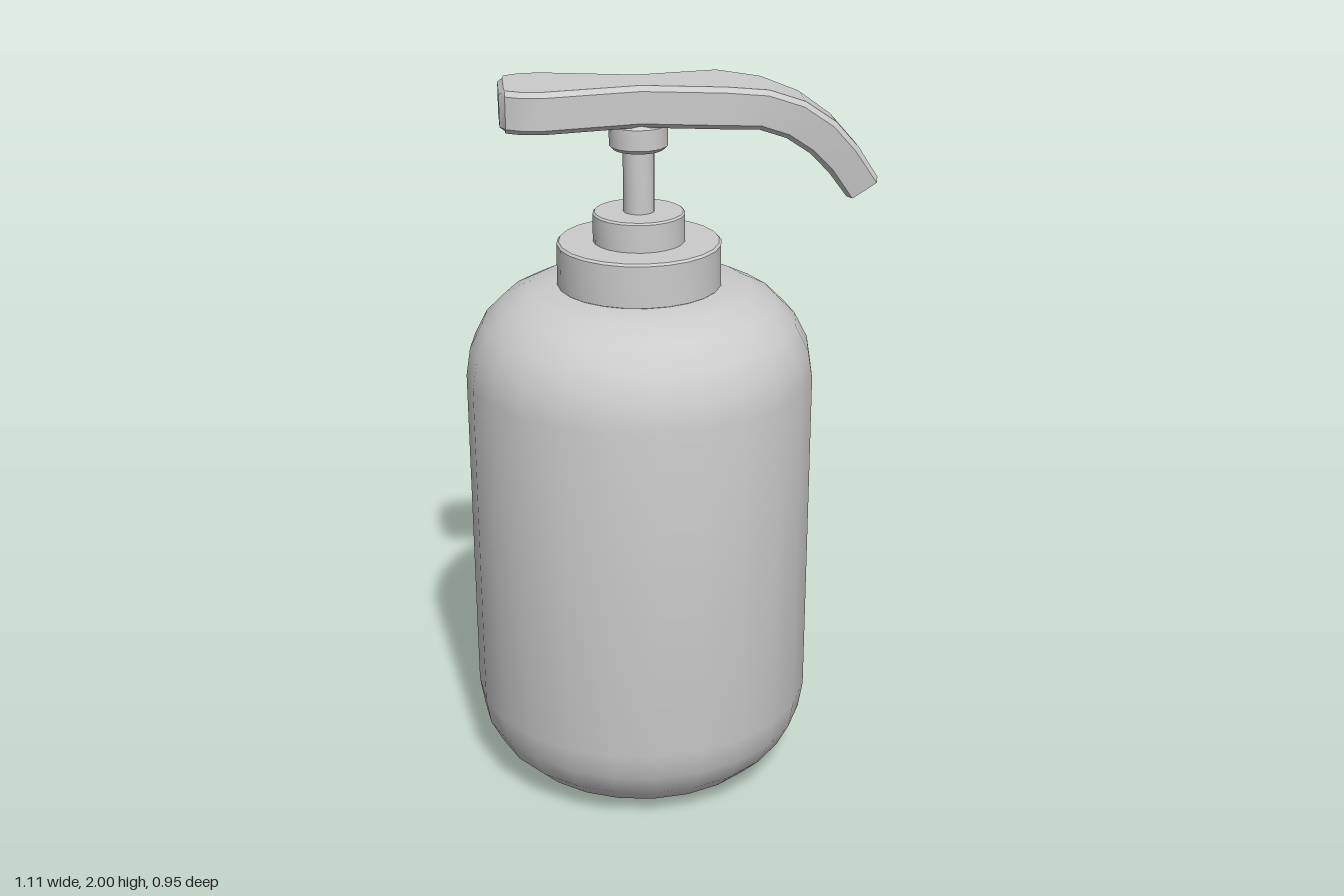
import * as THREE from 'three';
import { toCreasedNormals } from 'three/addons/utils/BufferGeometryUtils.js';

const AXIS_X = -0.087;
const material = new THREE.MeshStandardMaterial({ color: 0xcccccc });

function addMesh(group, name, geometry, crease = 0.55) {
  const mesh = new THREE.Mesh(toCreasedNormals(geometry, crease), material);
  mesh.name = name;
  group.add(mesh);
  return mesh;
}

// Turned part from [radius, height] pairs listed from bottom to top
function addTurned(group, name, profile, segments = 24) {
  const points = profile.map(([r, y]) => new THREE.Vector2(r, y));
  addMesh(group, name, new THREE.LatheGeometry(points, segments)).position.x = AXIS_X;
}

// Disc-shaped part with small chamfers on both rims
function chamferedDisc(r, y0, y1, b) {
  return [[0, y0], [r - b, y0], [r, y0 + b], [r, y1 - b], [r - b, y1], [0, y1]];
}

// Pump head: chamfered cross-sections, each [topX, topY, bottomX, bottomY, halfWidth]
function pumpHeadGeometry() {
  const stations = [
    [-0.45, 2, -0.45, 1.89, 0.075],
    [-0.435, 2, -0.435, 1.89, 0.103],
    [-0.395, 2, -0.395, 1.89, 0.124],
    [-0.34, 2, -0.34, 1.89, 0.13],
    [-0.087, 2, -0.087, 1.89, 0.077],
    [0.13, 2, 0.13, 1.89, 0.118],
    [0.245, 1.985, 0.22, 1.882, 0.097],
    [0.345, 1.948, 0.295, 1.853, 0.078],
    [0.43, 1.888, 0.36, 1.807, 0.06],
    [0.495, 1.815, 0.415, 1.75, 0.044],
    [0.557, 1.72, 0.475, 1.668, 0.026],
  ];
  const last = stations.length - 1;
  const positions = [];
  const index = [];
  const quad = (a, b, c, d) => index.push(a, b, c, a, c, d);

  stations.forEach(([tx, ty, bx, by, w], i) => {
    const top = new THREE.Vector2(tx, ty);
    const bottom = new THREE.Vector2(bx, by);
    const b = Math.min(0.013, w * 0.4);
    const v = b / top.distanceTo(bottom);
    // pull the top and bottom faces in at both ends so the chamfer runs all round
    const up = top.clone().sub(bottom).normalize();
    const pull = i === 0 ? b : i === last ? -b : 0;
    const ring = [
      [w, v], [w, 1 - v], [w - b, 1], [b - w, 1],
      [-w, 1 - v], [-w, v], [b - w, 0], [w - b, 0],
    ];
    for (const [z, t] of ring) {
      const p = bottom.clone().lerp(top, t);
      const inset = t === 0 || t === 1 ? pull : 0;
      positions.push(p.x + up.y * inset, p.y - up.x * inset, z);
    }
  });

  for (let i = 0; i < last; i++) {
    for (let k = 0; k < 8; k++) {
      const a = i * 8 + k, b = i * 8 + (k + 1) % 8;
      quad(a, a + 8, b + 8, b);
    }
  }
  // end caps: a flat face plus upper and lower chamfers
  for (const [a, b, c, d] of [[5, 4, 1, 0], [4, 3, 2, 1], [0, 7, 6, 5]]) {
    const o = last * 8;
    quad(o + a, o + b, o + c, o + d);
    quad(d, c, b, a);
  }
  const geometry = new THREE.BufferGeometry();
  geometry.setAttribute('position', new THREE.Float32BufferAttribute(positions, 3));
  geometry.setIndex(index);
  return geometry;
}

export function createModel() {
  const group = new THREE.Group();
  group.name = 'pumpBottle';

  // Bottle with rounded shoulders and base
  const R = 0.475, H = 1.45, corner = 0.25, steps = 5;
  const arc = [];
  for (let i = 0; i <= steps; i++) {
    const a = (i / steps) * Math.PI / 2;
    arc.push([R - corner + corner * Math.sin(a), corner * (1 - Math.cos(a))]);
  }
  const shoulder = arc.map(([r, y]) => [r, H - y]).reverse();
  addTurned(group, 'bottle', [[0, 0], ...arc, ...shoulder, [0, H]]);

  // Screw collar and the smaller ring above it
  addTurned(group, 'collar', chamferedDisc(0.222, 1.445, 1.57, 0.006));
  addTurned(group, 'collarRing', chamferedDisc(0.124, 1.565, 1.65, 0.005));

  // Plunger stem and the socket under the pump head
  addTurned(group, 'stem', [[0.042, 1.64], [0.042, 1.84]], 16);
  addTurned(group, 'headSocket', chamferedDisc(0.078, 1.82, 1.895, 0.01));

  addMesh(group, 'pumpHead', pumpHeadGeometry(), 0.45);
  return group;
}
